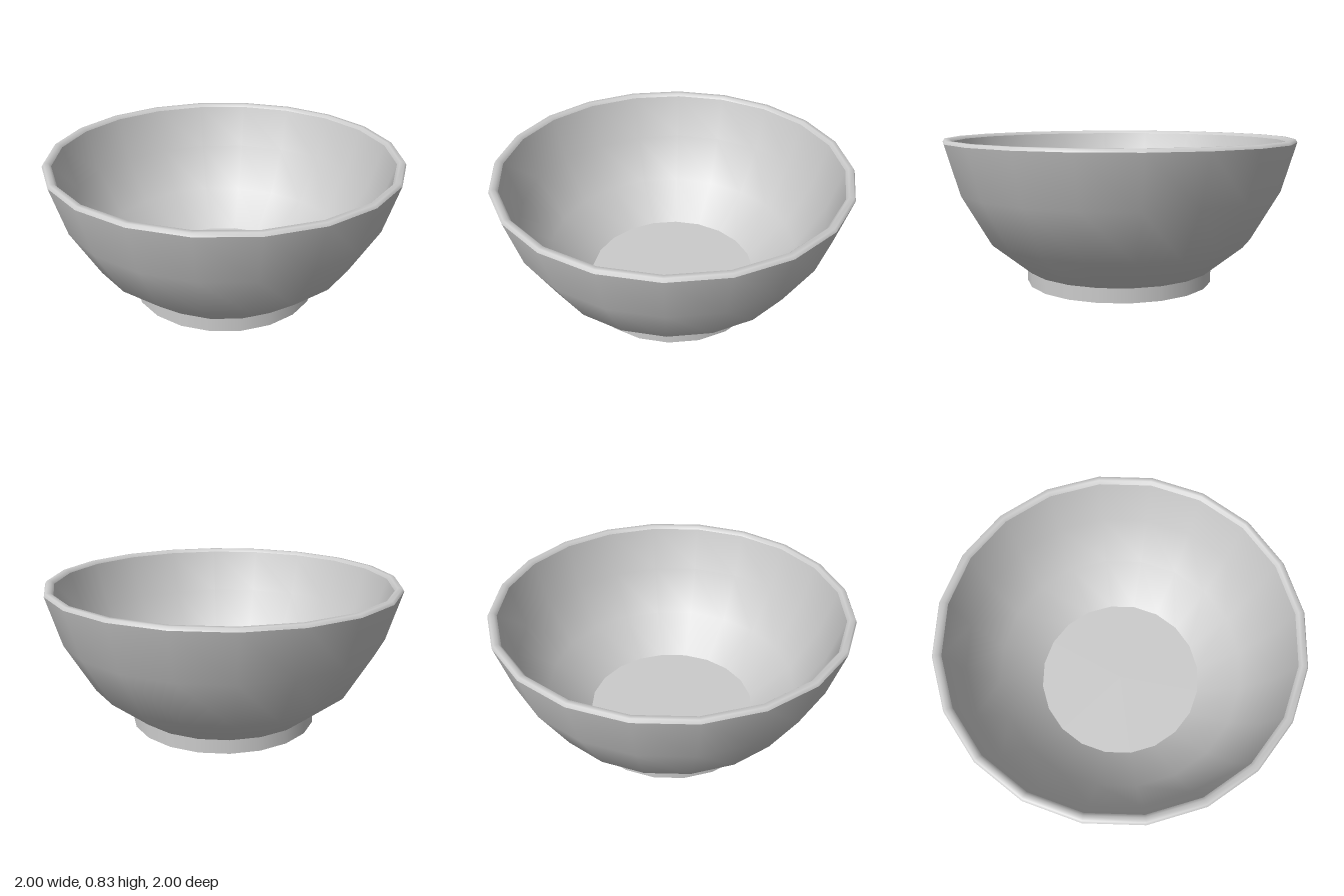
import * as THREE from 'three';

const SIDES = 20;
const material = new THREE.MeshStandardMaterial({ color: 0xcccccc });

// Revolves a profile of [radius, height] points; each piece is smooth within itself
function turned(name, profile) {
  const points = profile.map(([r, y]) => new THREE.Vector2(r, y));
  const mesh = new THREE.Mesh(new THREE.LatheGeometry(points, SIDES), material);
  mesh.name = name;
  return mesh;
}

export function createModel() {
  const group = new THREE.Group();
  group.name = 'bowl';

  // Foot ring with a shallow recess underneath
  group.add(
    turned('footRecessFloor', [[0, 0.045], [0.475, 0.045]]),
    turned('footInnerWall', [[0.475, 0.045], [0.475, 0]]),
    turned('footBase', [[0.475, 0], [0.54, 0]]),
    turned('footOuterWall', [[0.54, 0], [0.54, 0.08]])
  );

  // Bowl shell: outside, rounded rim, inside and flat floor
  group.add(
    turned('outerWall', [[0.54, 0.08], [0.76, 0.26], [0.92, 0.54], [1, 0.815]]),
    turned('rim', [[1, 0.815], [0.99, 0.832], [0.965, 0.832], [0.95, 0.815]]),
    turned('innerWall', [[0.95, 0.815], [0.875, 0.56], [0.725, 0.3], [0.49, 0.11]]),
    turned('innerFloor', [[0.49, 0.11], [0, 0.11]])
  );

  return group;
}
